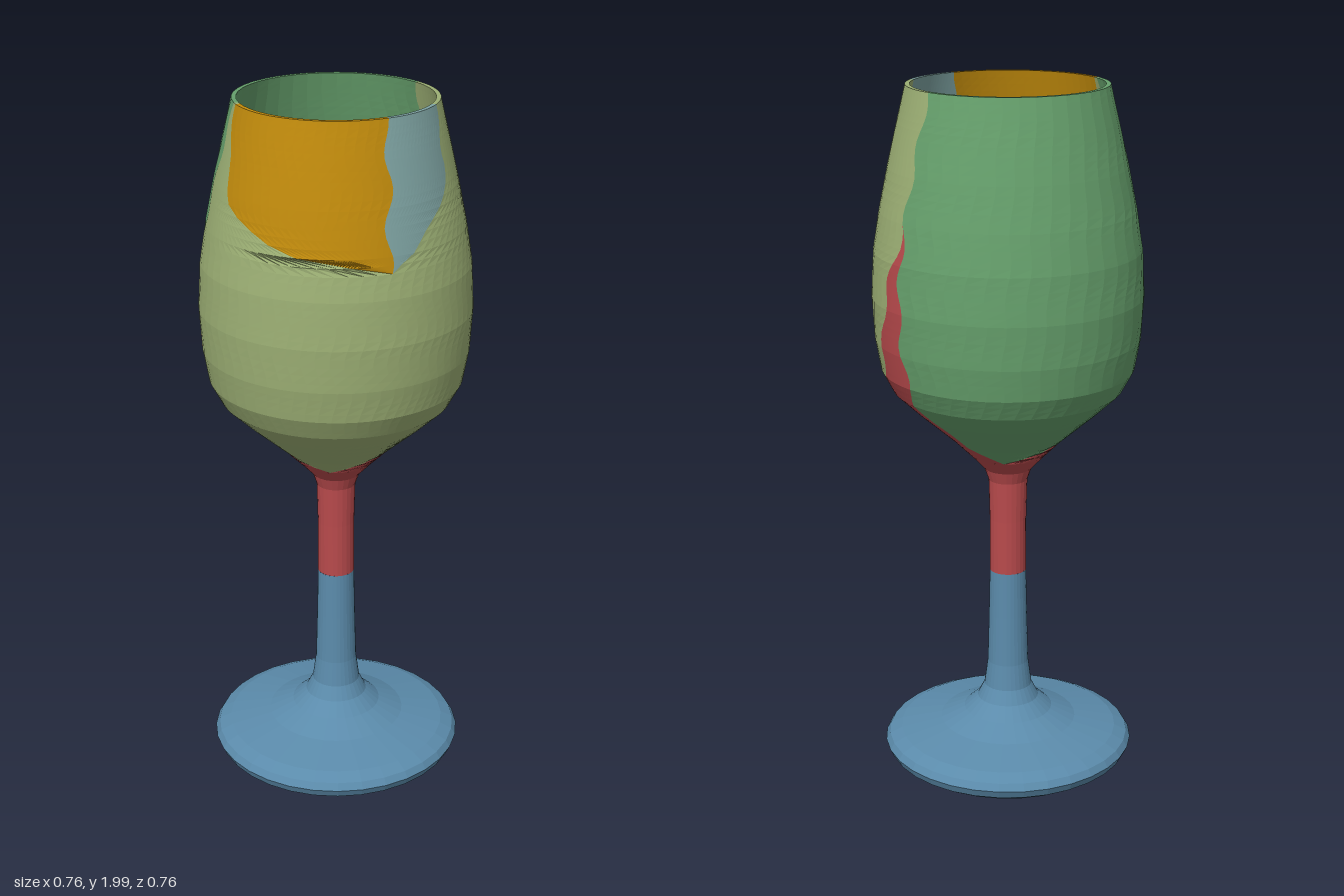
import * as THREE from 'three';

const RED = 0xb84a4c, BLUE = 0x5b8bab, OLIVE = 0x9caf74, GREEN = 0x66a06c, GOLD = 0xc08a0c, TEAL = 0x7ea3a2;

const paint = (color) => new THREE.MeshStandardMaterial({ color, flatShading: true, side: THREE.DoubleSide });

// Bowl wall as [radius, height]: up the outside, over the rim, down the inside
const OUTER = [[0.11, 0.95], [0.16, 1.0], [0.262, 1.09], [0.325, 1.15], [0.357, 1.21], [0.373, 1.3], [0.38, 1.42],
  [0.373, 1.55], [0.355, 1.66], [0.33, 1.78], [0.302, 1.9], [0.278, 2.0]];
const INNER = [[0.265, 2.0], [0.288, 1.9], [0.316, 1.78], [0.341, 1.66], [0.359, 1.55], [0.366, 1.42], [0.359, 1.3],
  [0.342, 1.21], [0.31, 1.15], [0.245, 1.09], [0.145, 1.01], [0.1, 0.98], [0.052, 0.93]];

// Colour borders round the bowl in degrees from the front, by height:
// [y, olive start, gold start, teal start, teal end, olive end, green start, green end]
const BORDERS = [
  [0.95, 0, 0, 0, 0, 0, 180, 180],
  [1.0, -55, 10, 10, 10, 60, 140, 245],
  [1.1, -68, 30, 30, 30, 98, 132, 270],
  [1.2, -71, 33, 33, 33, 112, 135, 275],
  [1.4, -74, 33, 33, 33, 122, 134, 280],
  [1.5, -76, 33, 33, 33, 126, 134, 284],
  [1.63, -73, 33, 33, 33, 133, 134, 287],
  [1.645, -73, 0, 33, 40, 134, 134, 287],
  [1.68, -71, -20, 33, 48, 134, 134, 289],
  [1.75, -70, -44, 34, 64, 134, 134, 290],
  [1.85, -66, -53, 36, 75, 135, 135, 294],
  [2.0, -62, -59, 37, 78, 136, 136, 298],
];

// Angle of border k at height y, slightly wavy; border 8 is the first one a full turn on
function border(k, y) {
  if (k === 8) return border(1, y) + Math.PI * 2;
  const h = Math.min(2, Math.max(0.95, y));
  let i = 0;
  while (i < BORDERS.length - 2 && h > BORDERS[i + 1][0]) i++;
  const lo = BORDERS[i], hi = BORDERS[i + 1];
  const a = THREE.MathUtils.degToRad(THREE.MathUtils.lerp(lo[k], hi[k], (h - lo[0]) / (hi[0] - lo[0])));
  return a + 0.035 * Math.sin(35 * h + a);
}

// Wall rows { r, y, h }, where h is the height at which the borders are read
function wallRows() {
  const points = [...OUTER, ...INNER], rows = [];
  points.forEach(([r, y], i) => {
    const [r2, y2] = points[i + 1] || [r, y];
    const steps = Math.max(1, Math.ceil(Math.abs(y2 - y) / 0.025));
    for (let s = 0; s < steps; s++) {
      const py = THREE.MathUtils.lerp(y, y2, s / steps);
      const inside = i >= OUTER.length;
      const shift = inside ? 0.05 * THREE.MathUtils.clamp((1.5 - py) / 0.4, 0, 1) : 0;
      rows.push({ r: THREE.MathUtils.lerp(r, r2, s / steps), y: py, h: py - shift });
    }
  });
  return rows;
}

// Strip of the wall between two colour borders
function wallPatch(name, color, from, to, rows) {
  const cols = 18, positions = [], index = [];
  const widths = rows.map(({ h }) => border(to, h) - border(from, h));
  rows.forEach(({ r, y, h }, j) => {
    for (let c = 0; c <= cols; c++) {
      const a = border(from, h) + widths[j] * c / cols;
      positions.push(r * Math.sin(a), y, r * Math.cos(a));
    }
    if (j === rows.length - 1 || Math.max(widths[j], widths[j + 1]) < 1e-4) return;
    for (let c = 0; c < cols; c++) {
      const p = j * (cols + 1) + c, q = p + cols + 1;
      if (widths[j] > 1e-4) index.push(p, p + 1, q + 1);
      if (widths[j + 1] > 1e-4) index.push(p, q + 1, q);
    }
  });
  const geometry = new THREE.BufferGeometry();
  geometry.setAttribute('position', new THREE.Float32BufferAttribute(positions, 3));
  geometry.setIndex(index);
  geometry.computeVertexNormals();
  const mesh = new THREE.Mesh(geometry, paint(color));
  mesh.name = name;
  return mesh;
}

function turned(name, color, profile, sides) {
  const geometry = new THREE.LatheGeometry(profile.map(([r, y]) => new THREE.Vector2(r, y)), sides);
  const mesh = new THREE.Mesh(geometry, paint(color));
  mesh.name = name;
  return mesh;
}

export function createModel() {
  const model = new THREE.Group();
  model.name = 'wineGlass';

  // Foot with the lower stem
  model.add(turned('foot', BLUE, [[0, 0.012], [0.2, 0.008], [0.32, 0.008], [0.355, 0.03], [0.367, 0.055], [0.355, 0.075],
    [0.32, 0.092], [0.2, 0.118], [0.13, 0.15], [0.09, 0.185], [0.07, 0.225], [0.06, 0.3], [0.056, 0.45], [0.053, 0.59]], 32));

  // Upper stem flaring into the bowl
  model.add(turned('stem', RED, [[0.053, 0.59], [0.053, 0.75], [0.056, 0.87], [0.068, 0.905], [0.11, 0.95]], 24));

  // Bowl wall, split by colour
  const bowl = new THREE.Group();
  bowl.name = 'bowl';
  const rows = wallRows();
  bowl.add(
    wallPatch('bowlFrontRight', OLIVE, 1, 2, rows),
    wallPatch('bowlFrontGold', GOLD, 2, 3, rows),
    wallPatch('bowlFrontTeal', TEAL, 3, 4, rows),
    wallPatch('bowlFrontLeft', OLIVE, 4, 5, rows),
    wallPatch('bowlLeftStreak', RED, 5, 6, rows),
    wallPatch('bowlBack', GREEN, 6, 7, rows),
    wallPatch('bowlRightStreak', RED, 7, 8, rows),
  );

  // Floor inside the bowl
  const floor = new THREE.Mesh(new THREE.CircleGeometry(0.054, 8), paint(RED));
  floor.name = 'bowlFloor';
  floor.rotation.x = -Math.PI / 2;
  floor.position.y = 0.93;
  bowl.add(floor);
  model.add(bowl);

  return model;
}
